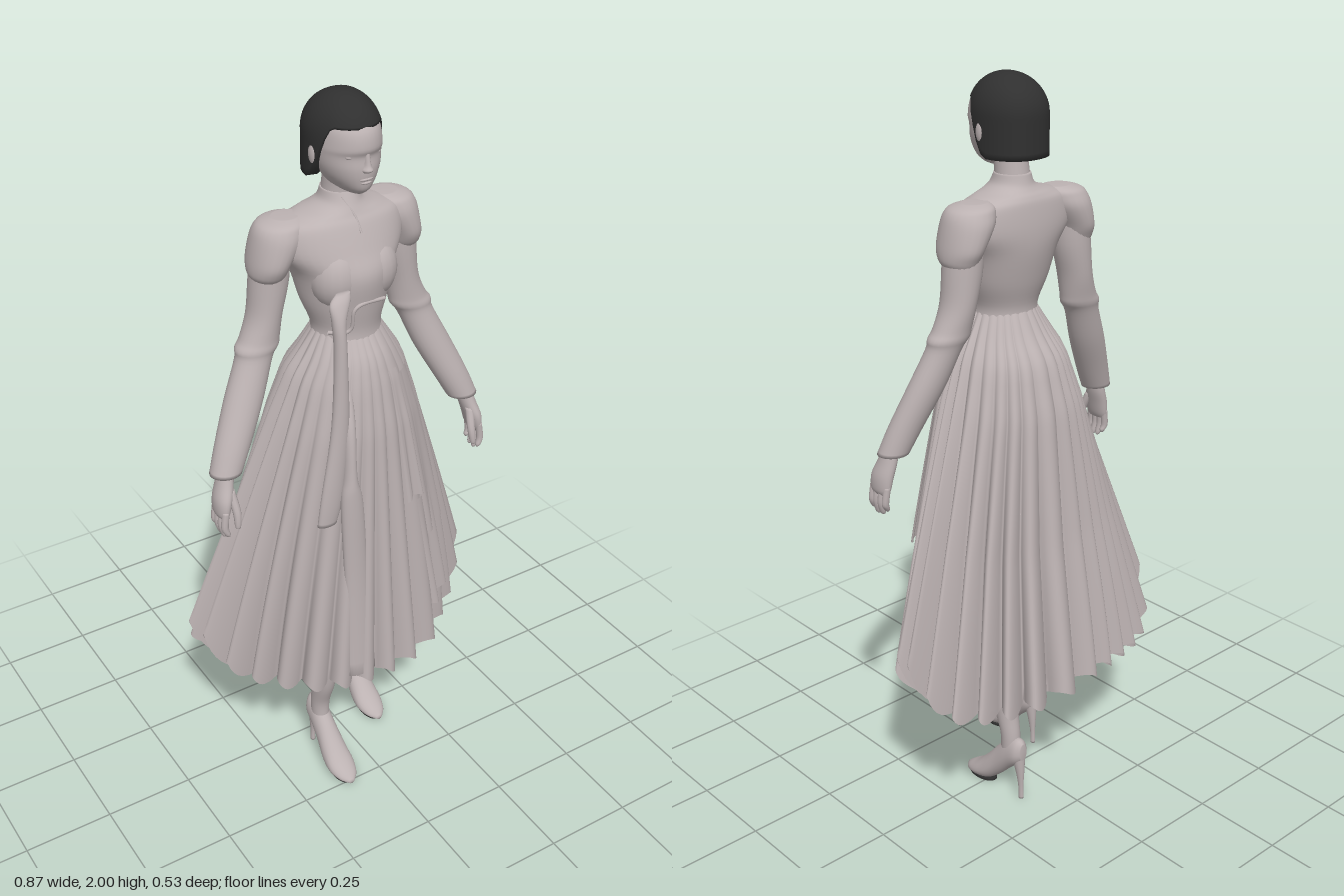
import * as THREE from 'three';

const clay = new THREE.MeshStandardMaterial({ color: 0xbcb2b2, side: THREE.DoubleSide });
clay.name = 'pale clay';
const dark = new THREE.MeshStandardMaterial({ color: 0x303030, side: THREE.DoubleSide });
dark.name = 'dark charcoal';

const { lerp, smoothstep } = THREE.MathUtils;

// Closed surface from rows of points; point(theta, row) gives a vertex.
function sheath(rows, sides, point, caps = true) {
  const pos = [], index = [];
  for (let j = 0; j < rows; j++)
    for (let i = 0; i < sides; i++) pos.push(...point((i / sides) * Math.PI * 2, j));
  for (let j = 0; j < rows - 1; j++)
    for (let i = 0; i < sides; i++) {
      const k = (i + 1) % sides;
      const a = j * sides + i, b = j * sides + k, c = a + sides, d = b + sides;
      index.push(a, c, b, b, c, d);
    }
  if (caps) for (const j of [0, rows - 1]) {
    const mid = [0, 0, 0];
    for (let i = 0; i < sides; i++)
      for (let n = 0; n < 3; n++) mid[n] += pos[(j * sides + i) * 3 + n] / sides;
    const m = pos.length / 3;
    pos.push(...mid);
    for (let i = 0; i < sides; i++) {
      const a = j * sides + i, b = j * sides + ((i + 1) % sides);
      index.push(m, j ? b : a, j ? a : b);
    }
  }
  const g = new THREE.BufferGeometry();
  g.setAttribute('position', new THREE.Float32BufferAttribute(pos, 3));
  g.setIndex(index);
  g.computeVertexNormals();
  return g;
}

// Smooth loft. Row: [height, cx, cz, rx, rFront, rBack]; alongZ lays it forward.
function loft(rings, sides = 24, alongZ = false) {
  const sub = 5, n = rings.length, rows = (n - 1) * sub + 1;
  const at = (j, k) => {
    const s = Math.min(Math.floor(j / sub), n - 2), t = j / sub - s;
    const [a, b, c, d] = [s - 1, s, s + 1, s + 2].map(i => {
      const r = rings[Math.max(0, Math.min(n - 1, i))];
      return r[k] ?? r[4];
    });
    return b + 0.5 * t * (c - a + t * (2 * a - 5 * b + 4 * c - d + t * (3 * (b - c) + d - a)));
  };
  return sheath(rows, sides, (th, j) => {
    const c = Math.cos(th);
    const x = at(j, 1) + at(j, 3) * Math.sin(th);
    const w = at(j, 2) + c * at(j, c > 0 ? 4 : 5);
    return alongZ ? [x, w, at(j, 0)] : [x, at(j, 0), w];
  });
}

// Skirt: flared oval with rounded, uneven pleats; the side crests ride up, the valleys hang.
const KNOTS = [0, 0.06, 0.12, 0.25, 0.6, 1];
const WIDE = [0.09, 0.125, 0.16, 0.205, 0.315, 0.44];
const FRONT = [0.135, 0.175, 0.193, 0.215, 0.24, 0.268];
const BACK = [-0.03, -0.065, -0.11, -0.15, -0.2, -0.28];
function sample(list, t) {
  let k = 0;
  while (k < KNOTS.length - 2 && t > KNOTS[k + 1]) k++;
  return lerp(list[k], list[k + 1], (t - KNOTS[k]) / (KNOTS[k + 1] - KNOTS[k]));
}
const bump = (v, centre, width) => Math.exp(-(((v - centre) / width) ** 2));
function skirtPoint(th, t, lift = 0, pleats = 1) {
  const s = Math.sin(th), c = Math.cos(th), mid = lerp(0.055, -0.03, t);
  const phase = th * 14 + 0.7 * Math.sin(3 * th + 1) + 0.6 * Math.sin(5 * th);
  const valley = 1 - Math.pow(Math.abs(Math.sin(phase)), 0.75);
  const depth = (0.03 + 0.24 * t) * (0.8 - 0.25 * c) * pleats;
  const fromFront = Math.min(th, Math.PI * 2 - th);
  const dip = t * t * (0.15 * bump(th, 3.48, 0.5) + 0.13 * bump(Math.abs(fromFront), 0.9, 0.4));
  const k = (1 - depth * valley + lift / 0.25) * (1 - dip);
  const hem = 0.375 + 0.18 * Math.pow(Math.abs(s), 16) * (1 - Math.pow(valley, 0.6))
    + 0.012 * Math.sin(phase * 2) * t;
  const z = sample(c > 0 ? FRONT : BACK, t) - mid;
  return [sample(WIDE, t) * s * k, lerp(1.4, hem, t), mid + z * Math.abs(c) * k];
}

// Loose cloth panel laid over the skirt between two angles and two heights.
function flap(th0, th1, t0, t1) {
  const g = new THREE.PlaneGeometry(1, 1, 24, 24), p = g.attributes.position;
  for (let i = 0; i < p.count; i++) {
    const u = p.getX(i) + 0.5, v = 0.5 - p.getY(i);
    const lift = 0.002 + 0.008 * v + 0.008 * v * Math.sin(u * 9);
    p.setXYZ(i, ...skirtPoint(lerp(th0, th1, u), lerp(t0, t1, v), lift, 0.35));
  }
  g.computeVertexNormals();
  return g;
}

const tube = (pts, r) => new THREE.TubeGeometry(
  new THREE.CatmullRomCurve3(pts.map(p => new THREE.Vector3(...p)), false, 'centripetal'), 48, r, 8);

export function createModel() {
  const model = new THREE.Group();
  model.name = 'standing figure in a pleated dress';
  const add = (name, geo, mat = clay, parent = model) => {
    const m = new THREE.Mesh(geo, mat);
    m.name = name;
    parent.add(m);
    return m;
  };
  const blob = (name, pos, size) => {
    const m = add(name, new THREE.SphereGeometry(1, 20, 14));
    m.position.set(...pos);
    m.scale.set(...size);
    return m;
  };

  // Head and face
  add('head', loft([
    [1.965, 0, 0.05, 0.05, 0.06, 0.06], [1.93, 0, 0.05, 0.072, 0.094, 0.08],
    [1.89, 0, 0.05, 0.079, 0.103, 0.08], [1.868, 0, 0.05, 0.079, 0.096, 0.08],
    [1.838, 0, 0.05, 0.075, 0.098, 0.075], [1.81, 0, 0.05, 0.064, 0.096, 0.06],
    [1.785, 0, 0.05, 0.045, 0.09, 0.045], [1.77, 0, 0.055, 0.026, 0.068, 0.03]], 32));
  add('nose', loft([[1.888, 0, 0.14, 0.006, 0.008], [1.852, 0, 0.141, 0.009, 0.015],
    [1.838, 0, 0.141, 0.015, 0.021], [1.83, 0, 0.139, 0.01, 0.01]], 14));
  blob('upperLip', [0, 1.814, 0.139], [0.02, 0.005, 0.01]);
  blob('lowerLip', [0, 1.805, 0.138], [0.017, 0.005, 0.01]);
  for (const s of [-1, 1]) {
    blob('eye', [s * 0.033, 1.87, 0.126], [0.015, 0.007, 0.009]);
    blob('ear', [s * 0.082, 1.86, 0.042], [0.012, 0.03, 0.017]);
  }

  // Bobbed hair, cut away around the face and tucked in underneath
  add('hair', sheath(29, 48, (th, j) => {
    const a = Math.abs(th > Math.PI ? th - Math.PI * 2 : th);
    const t = Math.min(j / 26, 1), tuck = 1 - 0.16 * Math.max(0, j - 26);
    const bottom = lerp(1.935, 1.798, smoothstep(a, 0.95, 1.7));
    const y = lerp(2, bottom, t * t);
    const h = Math.min(1, (2 - y) / 0.1);
    const r = Math.sqrt(1 - (1 - h) ** 2) * tuck;
    const s = Math.sin(th), c = Math.cos(th), taper = 1 - 0.14 * Math.max(0, c);
    const square = v => Math.sign(v) * Math.pow(Math.abs(v), 0.88);
    return [0.091 * r * square(s) * taper, y, 0.037 + 0.109 * r * square(c)];
  }), dark);

  // Neck, collar and fitted bodice
  add('neck', loft([[1.81, 0, 0.03, 0.043, 0.047], [1.76, 0, 0.022, 0.043, 0.046],
    [1.68, 0, 0.015, 0.05, 0.05]]));
  add('bodice', loft([
    [1.755, 0, 0.02, 0.045, 0.049, 0.049], [1.73, 0, 0.02, 0.054, 0.061, 0.056],
    [1.715, 0, 0.017, 0.08, 0.072, 0.062], [1.702, 0, 0.013, 0.125, 0.083, 0.068],
    [1.68, 0, 0.01, 0.17, 0.1, 0.073],
    [1.62, 0, 0.01, 0.175, 0.126, 0.08], [1.56, 0, 0.02, 0.136, 0.139, 0.087],
    [1.48, 0, 0.035, 0.115, 0.115, 0.085], [1.41, 0, 0.05, 0.091, 0.09, 0.08],
    [1.36, 0, 0.055, 0.1, 0.09, 0.09]], 40));
  add('collarPlacket', tube([[-0.02, 1.745, 0.066], [0.0, 1.70, 0.096], [0.004, 1.665, 0.117]], 0.003));
  for (const s of [-1, 1]) blob('bust', [s * 0.052, 1.555, 0.085], [0.066, 0.085, 0.067]);

  for (const s of [-1, 1]) {
    const arm = new THREE.Group();
    arm.name = s > 0 ? 'leftArm' : 'rightArm';
    model.add(arm);
    // Mirrored rows keep the outward winding on both sides
    const side = rows => rows.map(([y, x, ...rest]) => [y, s * x, ...rest]);
    add('shoulderPad', loft(side([[1.704, 0.14, 0.003, 0.035, 0.03], [1.695, 0.15, 0.003, 0.055, 0.055],
      [1.68, 0.157, 0.003, 0.064, 0.066], [1.65, 0.167, 0.002, 0.064, 0.074],
      [1.6, 0.188, 0.002, 0.052, 0.072], [1.57, 0.194, 0.002, 0.047, 0.06],
      [1.555, 0.195, 0, 0.04, 0.05]])), clay, arm);
    add('sleeve', loft(side([[1.66, 0.18, 0, 0.045, 0.055], [1.55, 0.187, -0.002, 0.05, 0.054],
      [1.46, 0.202, -0.002, 0.045, 0.05], [1.4, 0.219, 0.002, 0.052, 0.046],
      [1.375, 0.23, 0.005, 0.058, 0.046], [1.345, 0.243, 0.01, 0.05, 0.042],
      [1.25, 0.285, 0.03, 0.053, 0.043], [1.15, 0.333, 0.055, 0.049, 0.041],
      [1.08, 0.365, 0.07, 0.043, 0.039]])), clay, arm);
    add('hand', loft(side([[1.1, 0.368, 0.075, 0.02, 0.022], [1.06, 0.376, 0.08, 0.022, 0.03],
      [1.02, 0.388, 0.088, 0.022, 0.037], [0.985, 0.394, 0.09, 0.017, 0.036],
      [0.97, 0.395, 0.09, 0.01, 0.03]])), clay, arm);
    for (let k = 0; k < 4; k++) {
      const z = 0.063 + k * 0.018, tip = [0.925, 0.912, 0.91, 0.92][k];
      add('finger', loft(side([[0.995, 0.394, z, 0.01, 0.01], [0.95, 0.4, z + 0.002, 0.01, 0.0095],
        [tip + 0.008, 0.394, z + 0.004, 0.008, 0.008], [tip, 0.392, z + 0.004, 0.003, 0.003]]), 10), clay, arm);
    }
    add('thumb', loft(side([[1.045, 0.372, 0.1, 0.012, 0.012], [0.99, 0.366, 0.122, 0.011, 0.011],
      [0.95, 0.368, 0.13, 0.008, 0.008], [0.942, 0.369, 0.13, 0.003, 0.003]]), 10), clay, arm);
  }

  // Pleated skirt with loose panels, hanging folds and a bodice trim
  add('skirt', sheath(34, 392, (th, j) => skirtPoint(th, (j / 33) ** 1.3), false));
  const panels = [[0.32, 0.55, 0.1, 0.48], [0.55, 1.0, 0.12, 0.62], [0.48, 0.8, 0.5, 0.86]];
  for (const p of panels) add('drapedPanel', flap(...p));
  add('hangingDrape', loft([[1.545, -0.075, 0.16, 0.02, 0.008], [1.525, -0.09, 0.17, 0.028, 0.014],
    [1.48, -0.1, 0.182, 0.018, 0.018], [1.4, -0.1, 0.19, 0.017, 0.018], [1.2, -0.105, 0.197, 0.024, 0.017],
    [1.0, -0.13, 0.2, 0.032, 0.016], [0.91, -0.145, 0.198, 0.028, 0.014]]));
  add('frontFold', loft([[1.35, -0.06, 0.125, 0.02, 0.014], [1.2, -0.078, 0.195, 0.016, 0.016],
    [1.05, -0.085, 0.212, 0.018, 0.022], [0.96, -0.082, 0.218, 0.032, 0.022],
    [0.7, -0.07, 0.225, 0.036, 0.018], [0.4, -0.06, 0.238, 0.045, 0.018]]));
  add('bodiceTrim', tube([[0.055, 1.49, 0.146], [-0.02, 1.492, 0.151], [-0.035, 1.48, 0.149],
    [-0.038, 1.43, 0.141], [-0.05, 1.418, 0.135], [-0.09, 1.42, 0.115]], 0.005));

  // Legs in heeled shoes, right foot ahead of the left
  for (const [name, x, z] of [['rightLeg', -0.105, 0], ['leftLeg', 0.107, -0.178]]) {
    const leg = new THREE.Group();
    leg.name = name;
    leg.position.set(x, 0, z);
    model.add(leg);
    add('calf', loft([[0.9, 0, 0.1, 0.06, 0.06], [0.45, 0, 0.115, 0.042, 0.045],
      [0.38, 0, 0.116, 0.04, 0.044], [0.28, 0, 0.11, 0.032, 0.037],
      [0.2, 0, 0.092, 0.027, 0.029], [0.14, 0, 0.09, 0.025, 0.03]]), clay, leg);
    add('shoe', loft([[0.038, 0, 0.15, 0.012, 0.03, 0.02], [0.055, 0, 0.145, 0.026, 0.047, 0.035],
      [0.09, 0, 0.125, 0.03, 0.058, 0.045], [0.13, 0, 0.085, 0.033, 0.058, 0.045],
      [0.17, 0, 0.045, 0.039, 0.051, 0.036], [0.21, 0, 0.026, 0.04, 0.03, 0.023],
      [0.245, 0, 0.016, 0.028, 0.016, 0.013], [0.266, 0, 0.01, 0.008, 0.006, 0.006]], 24, true), clay, leg);
    add('heel', loft([[0.14, 0, 0.06, 0.02, 0.022], [0.09, 0, 0.052, 0.012, 0.014],
      [0.04, 0, 0.048, 0.007, 0.008], [0, 0, 0.047, 0.007, 0.008]], 14), clay, leg);
    const sole = add('sole', new THREE.CylinderGeometry(1, 1, 0.006, 28), dark, leg);
    sole.position.set(0, 0.003, 0.208);
    sole.scale.set(0.028, 1, 0.05);
  }
  return model;
}
